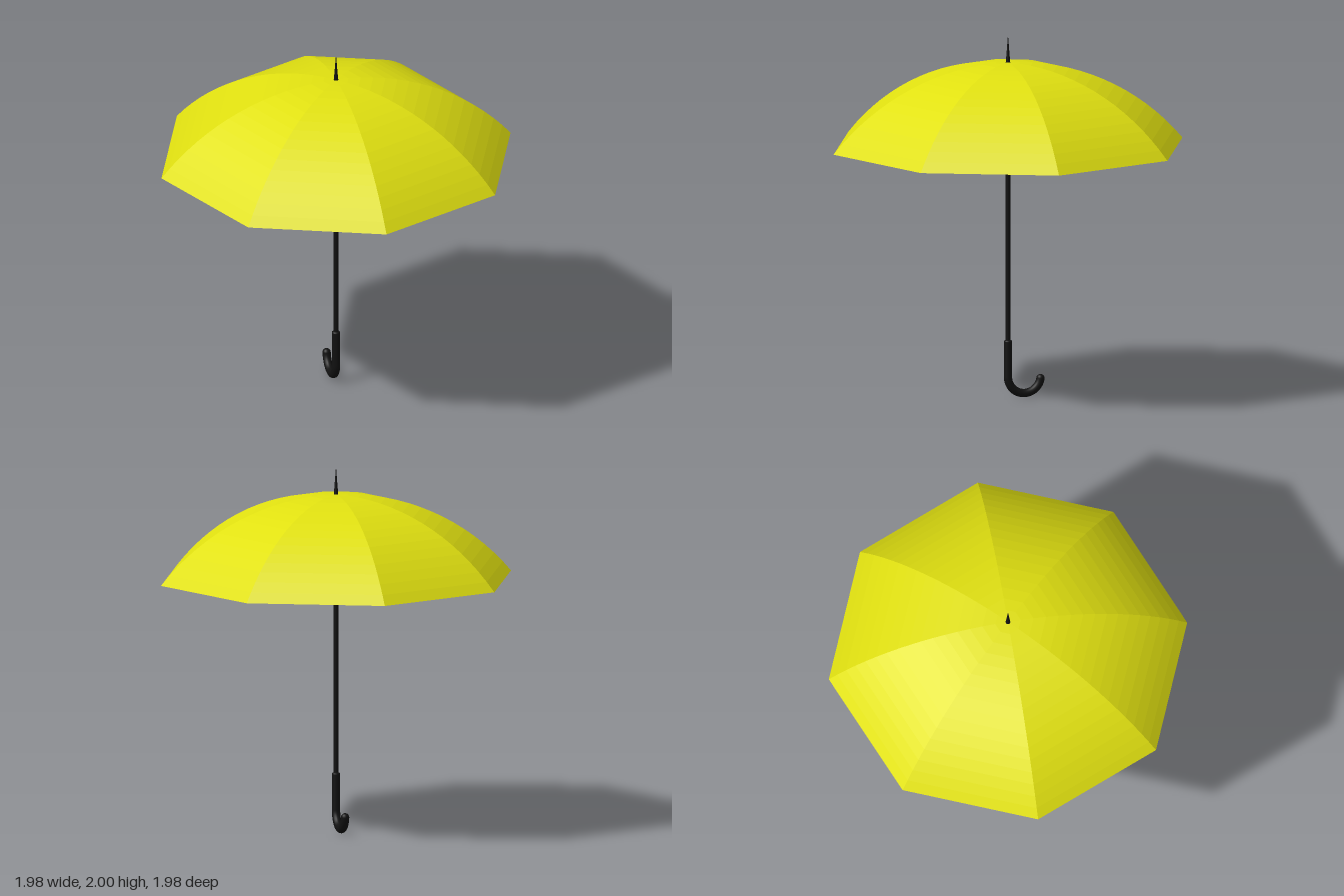
import * as THREE from 'three';

export function createModel() {
  const model = new THREE.Group();
  const fabric = new THREE.MeshStandardMaterial({ color: 0xe0e010, flatShading: true, side: THREE.DoubleSide });
  const black = new THREE.MeshStandardMaterial({ color: 0x111111 });

  const add = (name, geometry, material, parent = model) => {
    const mesh = new THREE.Mesh(geometry, material);
    mesh.name = name;
    parent.add(mesh);
    return mesh;
  };

  // Canopy: eight panels swept from a shallow circular arc, open underneath
  const rim = 0.992, rimY = 1.395, topY = 1.86, rise = topY - rimY;
  const R = (rim * rim + rise * rise) / (2 * rise);
  const sweep = Math.asin(rim / R), rings = 16;
  const profile = [];
  for (let i = rings; i >= 0; i--) {
    const a = (sweep * i) / rings;
    profile.push(new THREE.Vector2(R * Math.sin(a), topY - R + R * Math.cos(a)));
  }
  add('canopy', new THREE.LatheGeometry(profile, 8), fabric);

  // Shaft and the pointed ferrule above the canopy
  const shaftBase = 0.3;
  add('shaft', new THREE.CylinderGeometry(0.013, 0.013, topY - shaftBase, 16), black)
    .position.y = (topY + shaftBase) / 2;
  add('ferrule', new THREE.CylinderGeometry(0.001, 0.012, 0.14, 16), black).position.y = topY + 0.07;

  // Crook handle: straight grip, hook curling towards the back, rounded ends
  const handle = new THREE.Group();
  handle.name = 'handle';
  model.add(handle);
  const tube = 0.023, bend = 0.093, bendY = bend + tube, gripTop = 0.312, trim = 0.16;

  add('grip', new THREE.CylinderGeometry(tube, tube, gripTop - bendY, 20), black, handle)
    .position.y = (gripTop + bendY) / 2;

  const hook = new THREE.TorusGeometry(bend, tube, 16, 32, Math.PI - trim);
  hook.rotateZ(Math.PI).rotateY(Math.PI / 2);
  add('hook', hook, black, handle).position.set(0, bendY, -bend);

  const tip = add('hookTip', new THREE.SphereGeometry(tube, 20, 12), black, handle);
  tip.position.set(0, bendY - bend * Math.sin(trim), -bend - bend * Math.cos(trim));

  const gripCap = add('gripCap', new THREE.SphereGeometry(tube, 20, 12), black, handle);
  gripCap.position.y = gripTop;
  gripCap.scale.y = 0.5;

  return model;
}
